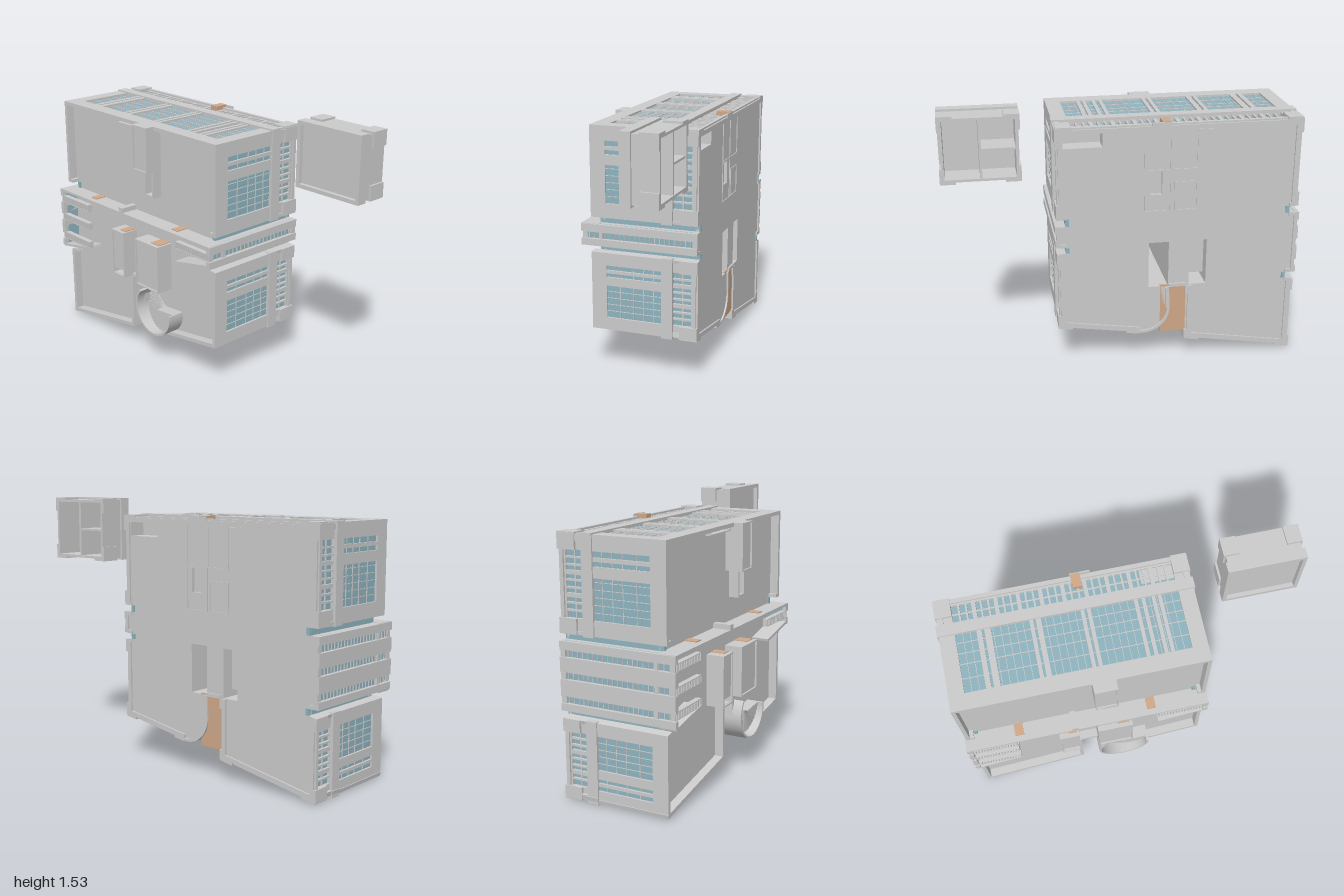
import * as THREE from 'three';

const grey = new THREE.MeshStandardMaterial({ color: 0xcccccc, side: THREE.DoubleSide });
const glass = new THREE.MeshStandardMaterial({ color: 0x8fb4c0, side: THREE.DoubleSide });
const wood = new THREE.MeshStandardMaterial({ color: 0xd0a888, side: THREE.DoubleSide });

const BACK = -0.34, ROOF = 0.24, RIM = 0.29, HIGH = 0.345;
const CX = -0.1, CY = 0.33, R = 0.155;

// box given by its two extremes on each axis
function box(parent, name, x0, x1, y0, y1, z0, z1, mat = grey) {
  const m = new THREE.Mesh(new THREE.BoxGeometry(x1 - x0, y1 - y0, z1 - z0), mat);
  m.position.set((x0 + x1) / 2, (y0 + y1) / 2, (z0 + z1) / 2);
  m.name = name;
  parent.add(m);
  return m;
}

function extrude(parent, name, shape, z0, z1, mat = grey) {
  const g = new THREE.ExtrudeGeometry(shape, { depth: z1 - z0, bevelEnabled: false, curveSegments: 32 });
  const m = new THREE.Mesh(g, mat);
  m.position.z = z0;
  m.name = name;
  parent.add(m);
}

function rectPath(x0, x1, y0, y1) {
  return new THREE.Path([[x0, y0], [x1, y0], [x1, y1], [x0, y1]].map(p => new THREE.Vector2(...p)));
}

// rectangular frame standing around an area
function frame(parent, name, x0, x1, y0, y1, z0, z1, t) {
  const s = new THREE.Shape(rectPath(x0, x1, y0, y1).getPoints());
  s.holes.push(rectPath(x0 + t, x1 - t, y0 + t, y1 - t));
  extrude(parent, name, s, z0, z1);
}

function sector(r0, r1, a0, a1) {
  const s = new THREE.Shape();
  s.absarc(CX, CY, r1, a0, a1, false);
  if (r0 > 0) s.absarc(CX, CY, r0, a1, a0, true);
  else s.lineTo(CX, CY);
  return s;
}

// local frame along an outline edge: +x runs along it, -y points outwards
function edgeGroup(parent, name, p, q) {
  const g = new THREE.Group();
  g.name = name;
  g.position.set(p[0], p[1], 0);
  g.rotation.z = Math.atan2(q[1] - p[1], q[0] - p[0]);
  parent.add(g);
  return [g, Math.hypot(q[0] - p[0], q[1] - p[1])];
}

// two rows of glazing between solid bands, corner blocks and piers
function facade(parent, p, q, piers) {
  const [g, L] = edgeGroup(parent, 'windowFacade', p, q);
  const m = Math.min(0.085, L * 0.16);
  box(g, 'upperGlass', m, L - m, 0.012, 0.02, -0.14, 0.21, glass);
  box(g, 'lowerGlass', m, L - m, 0.025, 0.032, -0.32, -0.18, glass);
  box(g, 'roofBeam', 0, L, 0, 0.022, 0.2, RIM);
  box(g, 'middleBand', -0.006, L + 0.006, -0.008, 0.035, -0.195, -0.13);
  box(g, 'plinth', 0, L, 0.01, 0.035, BACK, -0.3);
  for (const [a, b] of [[0, m], [L - m, L]]) {
    box(g, 'cornerPier', a, b, 0, 0.022, -0.13, 0.2);
    box(g, 'cornerBlock', a, b, -0.006, 0.035, BACK, -0.235);
    box(g, 'cornerRecess', a, b, 0.008, 0.035, -0.235, -0.195);
  }
  for (const [a, b] of piers) box(g, 'pier', a * L, b * L, 0, 0.02, -0.13, 0.2);
  for (const z of [-0.08, -0.02, 0.04, 0.12]) box(g, 'transom', m, L - m, 0.008, 0.014, z - 0.002, z + 0.002);
  const n = Math.round((L - 2 * m) / 0.04);
  for (let i = 1; i < n; i++) {
    const s = m + (L - 2 * m) * i / n;
    box(g, 'mullion', s - 0.0015, s + 0.0015, 0.008, 0.014, -0.13, 0.2);
    const w = i % 3 === 0 ? 0.011 : 0.005;
    box(g, 'lowerPier', s - w, s + w, 0.01, 0.03, -0.3, -0.195);
  }
  box(g, 'lowerSill', m, L - m, 0.018, 0.03, -0.253, -0.245);
}

// solid end wall cut by tall glazed slots
function slottedWall(parent, p, q, slots) {
  const [g, L] = edgeGroup(parent, 'slottedEndWall', p, q);
  box(g, 'slotGlass', 0, L, 0.014, 0.02, -0.32, 0.32, glass);
  let s = 0;
  for (const [a, b] of [...slots, [L, L]]) {
    if (a > s) box(g, 'endBand', s, a, -0.008, 0.02, BACK, HIGH);
    if (b > a) {
      box(g, 'slotBase', a, b, 0, 0.02, BACK, -0.32);
      for (let z = -0.3; z < 0.32; z += 0.03) box(g, 'slotBar', a, b, 0.008, 0.014, z, z + 0.004);
    }
    s = b;
  }
}

function plainWall(parent, p, q, top, mat = grey) {
  const [g, L] = edgeGroup(parent, 'wall', p, q);
  box(g, 'wallPanel', 0, L, 0, 0.02, BACK, top, mat);
}

export function createModel() {
  const model = new THREE.Group();
  model.name = 'building';

  const longPiers = [[0.145, 0.165], [0.175, 0.2], [0.35, 0.365], [0.375, 0.395], [0.55, 0.565],
    [0.575, 0.59], [0.76, 0.775], [0.79, 0.805], [0.83, 0.845], [0.855, 0.87]].map(([a, b]) => [1 - b, 1 - a]);
  const endPiers = [[0.58, 0.69], [0.74, 0.78]];
  const arc = [];
  for (let i = 0; i <= 12; i++) {
    const a = Math.PI * (1 + 0.55 * i / 12);
    arc.push([CX + R * Math.cos(a), CY + R * Math.sin(a), 'none']);
  }
  // footprint corners, each with the kind of wall that starts there
  const outline = [
    [-0.985, 0.01, 'win', [[0.3, 0.32], [0.6, 0.62]]], [-0.35, 0.12, 'win', [[0.5, 0.56]]],
    [-0.35, 0.46, 'wall'], [-0.25, 0.46, 'wall'],
    ...arc.slice(0, -1), [...arc[12].slice(0, 2), 'win', [[0.3, 0.33], [0.6, 0.64]]],
    [0.385, 0.25, 'win', endPiers], [0.385, 0.71, 'wall'], [0.34, 0.715, 'glass'], [0.34, 0.745, 'wall'],
    [0.39, 0.75, 'slot', [[0.04, 0.08]]], [0.39, 0.875, 'wall'], [0.34, 0.875, 'glass'], [0.34, 0.915, 'wall'],
    [0.385, 0.915, 'win', endPiers], [0.385, 1.435, 'win', longPiers],
    [-0.985, 1.435, 'win', endPiers.map(([a, b]) => [1 - b, 1 - a])], [-0.985, 0.915, 'wall'],
    [-0.94, 0.915, 'glass'], [-0.94, 0.875, 'wall'],
    [-0.992, 0.875, 'slot', [[0.045, 0.085], [0.165, 0.205], [0.295, 0.335]]], [-0.992, 0.5, 'wall'],
    [-0.94, 0.5, 'glass'], [-0.94, 0.465, 'wall'], [-0.985, 0.455, 'win', endPiers],
  ];
  outline.forEach((p, i) => {
    const q = outline[(i + 1) % outline.length];
    if (p[2] === 'win') facade(model, p, q, p[3]);
    else if (p[2] === 'slot') slottedWall(model, p, q, p[3]);
    else if (p[2] === 'wall') plainWall(model, p, q, RIM);
    else if (p[2] === 'glass') plainWall(model, p, q, 0.25, glass);
  });

  // roof and ground plates
  const plate = (name, z0, z1, holes) => {
    const s = new THREE.Shape(outline.map(p => new THREE.Vector2(p[0], p[1])));
    s.holes = holes.map(h => rectPath(...h));
    extrude(model, name, s, z0, z1);
  };
  const slits = [[-0.2, -0.135, 1.03, 1.165], [-0.48, -0.26, 1.395, 1.415]];
  plate('roof', 0.22, ROOF, [...slits, [-0.465, -0.365, 0.465, 0.5]]);
  plate('groundPlate', -0.33, -0.31, [...slits, [-0.465, -0.365, 0.465, 0.74], [-0.245, -0.13, 0.465, 0.74],
    [0.13, 0.345, 1.32, 1.405]]);
  box(model, 'cornerRoomFloor', 0.12, 0.355, 1.31, 1.41, -0.23, -0.22);
  frame(model, 'cornerRoom', 0.12, 0.355, 1.31, 1.413, -0.33, -0.22, 0.01);
  frame(model, 'stairShaft', -0.255, -0.12, 0.455, 0.75, -0.33, 0.22, 0.01);
  frame(model, 'liftShaft', -0.475, -0.355, 0.455, 0.75, -0.33, 0.22, 0.01);
  for (const z of [-0.28, -0.16, -0.04, 0.08]) box(model, 'shaftDoor', -0.22, -0.16, 0.735, 0.742, z, z + 0.07, wood);
  box(model, 'liftBack', -0.47, -0.36, 0.505, 0.745, -0.26, -0.25);

  // thin partition lines under the ground plate
  for (const [x0, x1, y0, y1] of [[-0.25, -0.1, 1.17, 1.4], [-0.4, -0.25, 1.17, 1.4], [-0.25, -0.1, 0.93, 1.17], [-0.4, -0.27, 0.93, 1.1]])
    frame(model, 'partition', x0, x1, y0, y1, -0.335, -0.325, 0.005);

  // entrance floor in the notch and doors
  box(model, 'entranceFloor', -0.35, -0.2, 0.17, 0.47, -0.33, -0.315, wood);
  box(model, 'entranceSill', -0.35, -0.25, 0.23, 0.47, -0.315, -0.305);
  box(model, 'rearEntrance', -0.245, -0.195, 1.42, 1.45, BACK, -0.26, wood);
  box(model, 'rearCanopy', -0.25, -0.14, 1.42, 1.447, -0.345, -0.337);

  // terrace wall across the roof, with doors
  box(model, 'terraceWall', -0.992, 0.39, 0.862, 0.877, ROOF, HIGH);
  box(model, 'terracePost', -0.395, -0.36, 0.875, 0.905, ROOF, HIGH);
  for (const x of [-0.715, 0.045]) box(model, 'terraceDoor', x, x + 0.05, 0.874, 0.882, ROOF, 0.31, wood);

  // slanted parapets beside the end terraces
  for (const [p, q] of [[[0.11, 0.7], [0.385, 0.755]], [[-0.99, 0.49], [-0.72, 0.54]]]) {
    const [g, L] = edgeGroup(model, 'slantedParapet', p, q);
    box(g, 'parapet', 0, L, 0, 0.014, ROOF, HIGH);
  }

  // slatted strips over the end slots
  for (const [x0, x1, y] of [[-0.99, -0.72, 0.79], [-0.99, -0.72, 0.67], [-0.99, -0.72, 0.545], [0.11, 0.385, 0.79]]) {
    for (const d of [0, 0.04]) box(model, 'slatRail', x0, x1, y + d - 0.002, y + d + 0.002, 0.31, 0.34);
    for (let i = 0; i <= 16; i++) {
      const x = x0 + (x1 - x0) * i / 16;
      box(model, 'slat', x - 0.003, x + 0.003, y, y + 0.04, 0.31, 0.34);
    }
  }

  // roof houses: a sunk lid inside a raised rim
  const roofHouse = (x0, x1, y0, y1, hole) => {
    frame(model, 'roofHouseWall', x0, x1, y0, y1, ROOF, HIGH, 0.008);
    const s = new THREE.Shape(rectPath(x0, x1, y0, y1).getPoints());
    if (hole) s.holes.push(rectPath(...hole));
    extrude(model, 'roofHouseLid', s, 0.325, 0.335);
  };
  roofHouse(-0.475, -0.36, 0.46, 0.748, [-0.465, -0.37, 0.47, 0.5]);
  roofHouse(-0.25, -0.045, 0.46, 0.748);
  roofHouse(-0.25, -0.125, 1.17, 1.435);
  box(model, 'houseDoor', -0.42, -0.37, 0.745, 0.752, ROOF, 0.32, wood);
  box(model, 'houseDoor', -0.13, -0.06, 0.745, 0.752, ROOF, 0.32, wood);
  frame(model, 'roofOpeningRim', -0.205, -0.125, 1.015, 1.18, ROOF, 0.3, 0.012);
  frame(model, 'skylightRim', -0.485, -0.25, 1.39, 1.42, ROOF, 0.27, 0.006);

  // curved stair: outer drum wall and rising wedge steps
  const a0 = Math.PI * 0.78, a1 = Math.PI * 2.03;
  extrude(model, 'drumWall', sector(R - 0.015, R, Math.PI, Math.PI * 1.55), BACK, ROOF);
  extrude(model, 'stairParapet', sector(R - 0.012, R, a0, a1), ROOF, HIGH);
  const steps = 22;
  for (let i = 0; i < steps; i++) {
    const a = a0 + (a1 - a0) * i / steps, b = a0 + (a1 - a0) * (i + 1) / steps;
    extrude(model, 'stairStep', sector(0, R - 0.012, a, b), 0.22, 0.245 + 0.07 * i / steps);
  }

  // separate annex: walls, band, corner blocks, inner walls
  const annex = new THREE.Group();
  annex.name = 'annex';
  model.add(annex);
  const [ax0, ax1, ay0, ay1] = [0.567, 1, 1.158, 1.53];
  frame(annex, 'annexWalls', ax0 + 0.012, ax1 - 0.012, ay0 + 0.012, ay1 - 0.012, BACK, -0.19, 0.014);
  frame(annex, 'annexBand', ax0, ax1, ay0, ay1, -0.195, -0.135, 0.022);
  box(annex, 'annexRoof', ax0 + 0.015, ax1 - 0.015, ay0 + 0.015, ay1 - 0.015, -0.175, -0.16);
  for (const sx of [0, 1]) for (const sy of [0, 1]) {
    const x = sx ? ax1 - 0.085 : ax0, y = sy ? ay1 - 0.085 : ay0;
    const ex = sx ? ax1 - 0.02 : ax0, ey = sy ? ay1 - 0.02 : ay0;
    box(annex, 'cornerBlock', x, x + 0.085, ey, ey + 0.02, BACK, -0.235);
    box(annex, 'cornerBlock', ex, ex + 0.02, y, y + 0.085, BACK, -0.235);
  }
  box(annex, 'innerWall', 0.775, 0.787, ay0 + 0.02, ay1 - 0.02, -0.335, -0.17);
  box(annex, 'innerWall', ax0 + 0.02, 0.78, 1.335, 1.347, -0.335, -0.17);
  return model;
}
